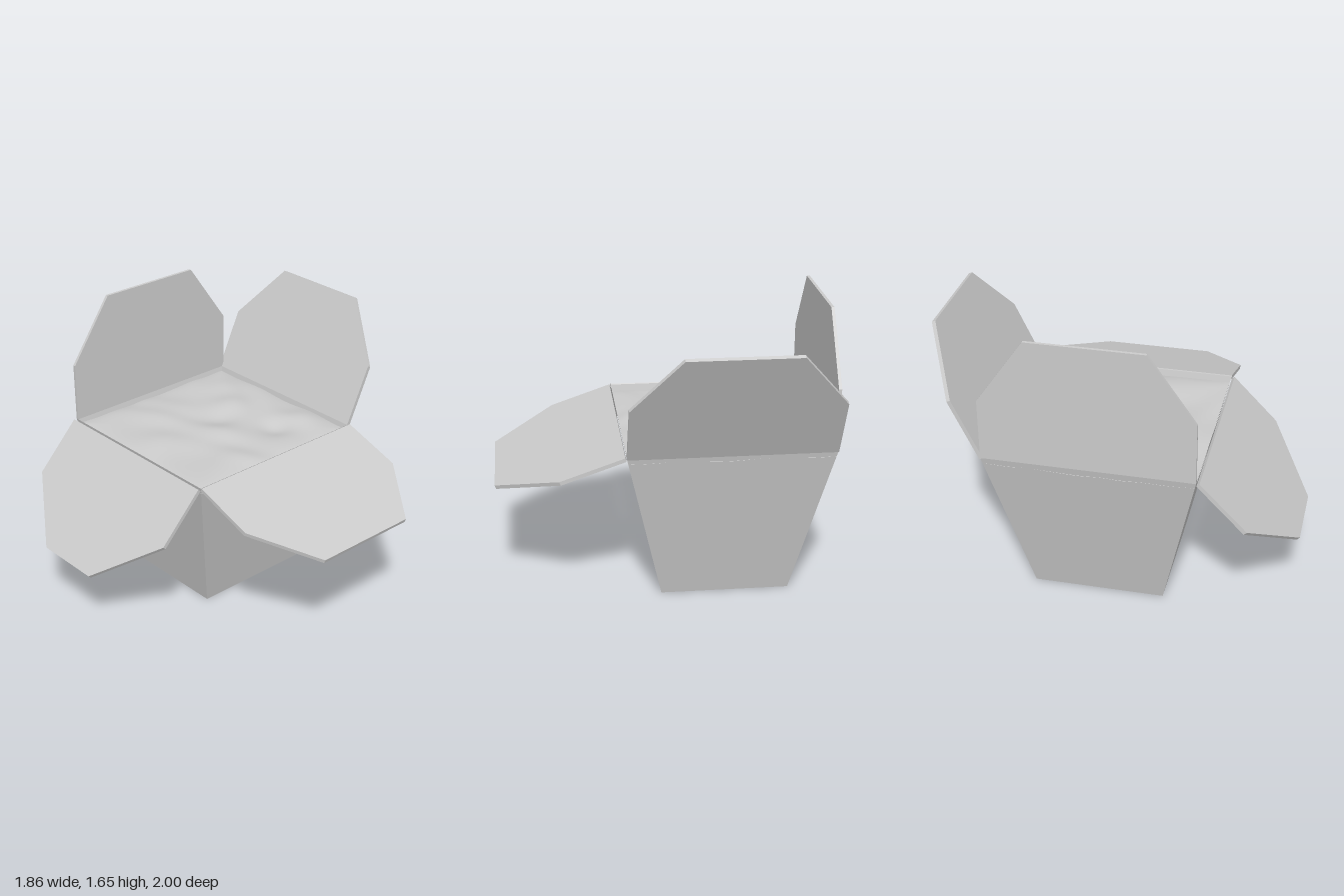
import * as THREE from 'three';

const material = new THREE.MeshStandardMaterial({ color: 0xcccccc, side: THREE.DoubleSide });
const CX = -0.355, CZ = -0.103, RIM = 0.93;
const TOP = [1.15, 1.165], BASE = [0.73, 0.74];

function addMesh(group, name, geometry) {
  const mesh = new THREE.Mesh(geometry, material);
  mesh.name = name;
  group.add(mesh);
  return mesh;
}

// Octagon-ended flap: a slab rising from its hinge, turned to point along dir
function addFlap(group, name, { hinge, dir, inward, width, tip, length, shoulder, thickness }) {
  const w = width / 2, t = tip / 2;
  const shape = new THREE.Shape([
    [-w, 0], [w, 0], [w, shoulder], [t, length], [-t, length], [-w, shoulder],
  ].map(([x, y]) => new THREE.Vector2(x, y)));
  const geometry = new THREE.ExtrudeGeometry(shape, { depth: thickness, bevelEnabled: false });
  const up = new THREE.Vector3(...dir).normalize();
  const edge = up.clone().cross(new THREE.Vector3(...inward)).normalize();
  const normal = edge.clone().cross(up);
  geometry.applyMatrix4(new THREE.Matrix4().makeBasis(edge, up, normal).setPosition(...hinge));
  addMesh(group, name, geometry);
}

// Open box that tapers towards its base
function cartonGeometry() {
  const geometry = new THREE.BoxGeometry(1, 1, 1);
  const p = geometry.attributes.position;
  for (let i = 0; i < p.count; i++) {
    const size = p.getY(i) > 0 ? TOP : BASE;
    p.setXYZ(i, CX + p.getX(i) * size[0], (p.getY(i) + 0.5) * RIM, CZ + p.getZ(i) * size[1]);
  }
  // Leave out the lid, which is the third face
  const index = Array.from(geometry.index.array);
  geometry.setIndex(index.filter((_, i) => i < 12 || i >= 18));
  geometry.computeVertexNormals();
  return geometry;
}

// Soft lumpy filling just below the rim
function fillingGeometry() {
  const geometry = new THREE.PlaneGeometry(1.135, 1.15, 48, 48).rotateX(-Math.PI / 2);
  const lumps = [ // x, z, height, radius
    [-0.08, -0.53, 0.025, 0.12], [-0.08, -0.38, -0.03, 0.1], [-0.5, -0.36, 0.02, 0.12],
    [-0.62, 0.05, 0.018, 0.16], [-0.22, -0.08, 0.02, 0.16], [0.06, 0.1, 0.015, 0.14],
    [-0.4, 0.28, 0.016, 0.15], [-0.72, -0.5, 0.014, 0.13], [-0.38, -0.2, -0.015, 0.1],
  ];
  const p = geometry.attributes.position;
  for (let i = 0; i < p.count; i++) {
    const u = p.getX(i), v = p.getZ(i), x = u + CX, z = v + CZ;
    const rimGap = Math.min(0.5675 - Math.abs(u), 0.575 - Math.abs(v));
    let y = 0.903 + 0.005 * Math.sin(13 * x + 3 * Math.sin(6 * z)) * Math.cos(11 * z - 2 * x);
    for (const [lx, lz, h, r] of lumps) y += h * Math.exp(-((x - lx) ** 2 + (z - lz) ** 2) / (r * r));
    y -= 0.012 * Math.exp(-rimGap / 0.05);
    p.setXYZ(i, x, y, z);
  }
  geometry.computeVertexNormals();
  return geometry;
}

export function createModel() {
  const model = new THREE.Group();
  model.name = 'foodCarton';

  addMesh(model, 'carton', cartonGeometry());
  addMesh(model, 'filling', fillingGeometry());

  // Four open flaps, each leaning at its own angle
  addFlap(model, 'frontFlap', {
    hinge: [CX, 0.915, 0.481], dir: [0, -0.525, 0.505], inward: [0, 1, 1],
    width: 1.15, tip: 0.41, length: 0.728, shoulder: 0.37, thickness: 0.022,
  });
  addFlap(model, 'backFlap', {
    hinge: [CX, 0.921, -0.69], dir: [0, 0.65, -0.31], inward: [0, 0, 1],
    width: 1.15, tip: 0.61, length: 0.72, shoulder: 0.37, thickness: 0.022,
  });
  addFlap(model, 'leftFlap', {
    hinge: [0.22, 0.912, CZ], dir: [0.703, -0.242, 0], inward: [0, 1, 0],
    width: 1.165, tip: 0.64, length: 0.743, shoulder: 0.375, thickness: 0.022,
  });
  addFlap(model, 'rightFlap', {
    hinge: [-0.93, RIM, CZ], dir: [0, 1, 0], inward: [1, 0, 0],
    width: 1.165, tip: 0.64, length: 0.725, shoulder: 0.35, thickness: 0.017,
  });
  return model;
}
